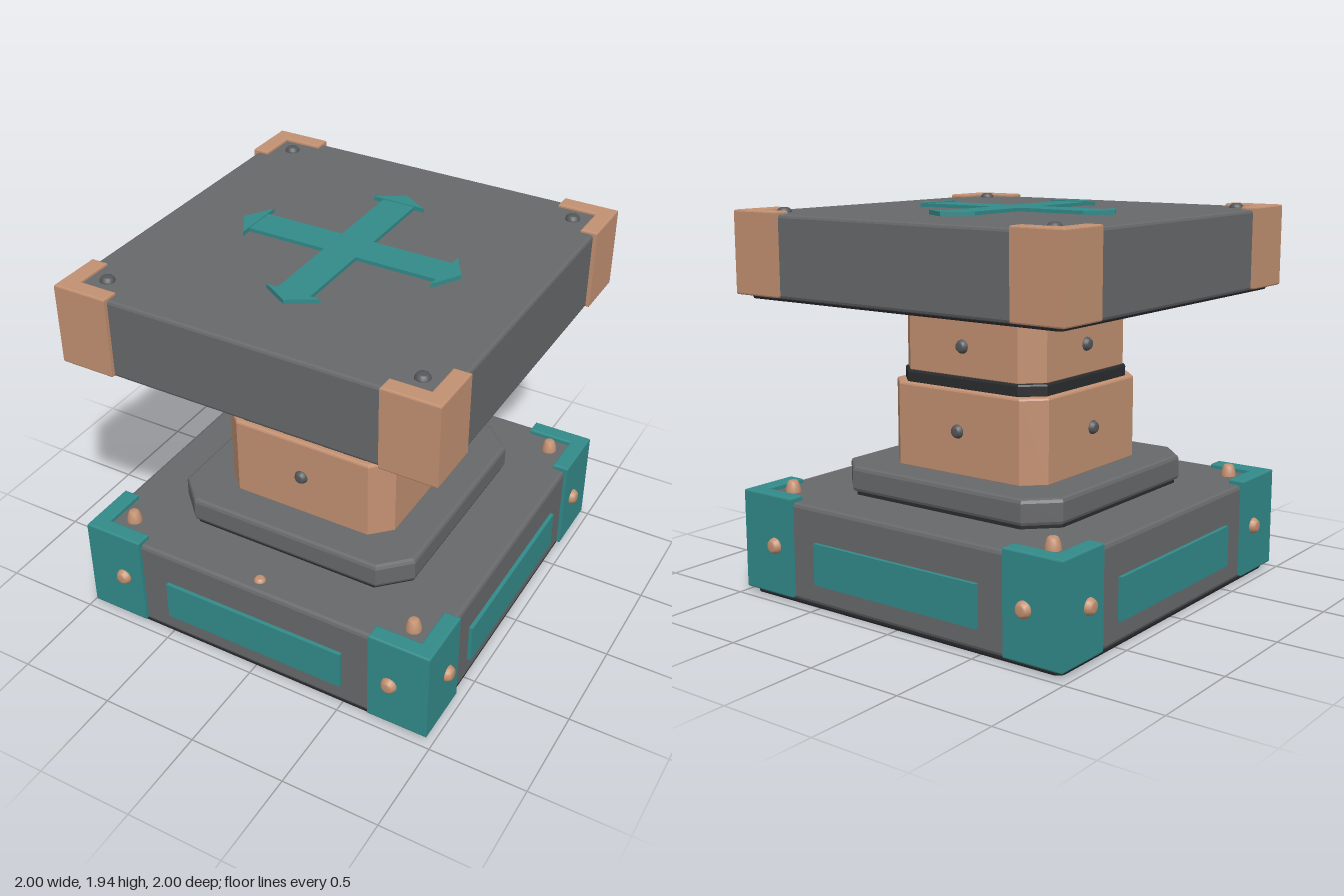
import * as THREE from 'three';

const mat = (color) => new THREE.MeshStandardMaterial({ color });
const grey = mat(0x68696b), dark = mat(0x2b2c2e), copper = mat(0xc39172);
const teal = mat(0x338b8a), steel = mat(0x55575a);

export function createModel() {
  const model = new THREE.Group();

  const add = (name, geometry, material, parent = model) => {
    const mesh = new THREE.Mesh(geometry, material);
    mesh.name = name;
    parent.add(mesh);
    return mesh;
  };

  // Upright prism from an outline in plan, with slightly bevelled rims
  const prism = (points, y0, y1, bevel) => {
    const shape = new THREE.Shape(points.map(([x, y]) => new THREE.Vector2(x, y)));
    const geometry = new THREE.ExtrudeGeometry(shape, {
      depth: y1 - y0 - 2 * bevel, bevelEnabled: bevel > 0, bevelSize: bevel,
      bevelThickness: bevel, bevelOffset: -bevel, bevelSegments: 2,
    });
    return geometry.rotateX(-Math.PI / 2).translate(0, y0 + bevel, 0);
  };

  // Square block with cut corners
  const slab = (name, half, y0, y1, cut, bevel, material) => {
    const h = half, k = half - cut;
    const outline = [[h, -k], [h, k], [k, h], [-k, h], [-h, k], [-h, -k], [-k, -h], [k, -h]];
    return add(name, prism(outline, y0, y1, bevel), material);
  };

  // Four copies of a part around the vertical axis
  const around = (name, build) => {
    for (let i = 0; i < 4; i++) {
      const side = new THREE.Group();
      side.name = name;
      side.rotation.y = i * Math.PI / 2;
      build(side);
      model.add(side);
    }
  };

  // Domed stud standing on y = 0
  const studGeometry = (r, h) => new THREE.LatheGeometry(
    [[r, -0.03], [r, 0], [r * 0.94, h * 0.35], [r * 0.72, h * 0.85], [r * 0.5, h], [0, h]]
      .map(([x, y]) => new THREE.Vector2(x, y)), 16);
  const topStud = (name, r, h, x, y, z, material, parent) =>
    add(name, studGeometry(r, h), material, parent).position.set(x, y, z);
  const frontStud = (name, r, h, x, y, z, material, parent) =>
    add(name, studGeometry(r, h).rotateX(Math.PI / 2), material, parent).position.set(x, y, z);

  // L-shaped corner guard in plan
  const guard = (inner, y0, y1) => {
    const o = 0.97, t = 0.885;
    return prism([[o, inner], [o, o], [inner, o], [inner, t], [t, t], [t, inner]], y0, y1, 0.008);
  };

  // Base
  slab('baseUnderside', 0.945, 0, 0.04, 0.03, 0.015, dark);
  slab('baseBlock', 0.95, 0.02, 0.515, 0.02, 0.02, grey);
  around('baseSide', (side) => {
    add('sidePanel', new THREE.BoxGeometry(1, 0.21, 0.04), teal, side).position.set(0, 0.235, 0.95);
    add('baseCornerGuard', guard(0.65, 0.03, 0.54), teal, side);
    for (const x of [-0.765, 0.765]) frontStud('guardRivet', 0.042, 0.03, x, 0.28, 0.97, copper, side);
    topStud('baseTopRivet', 0.04, 0.06, 0.8, 0.515, 0.8, copper, side);
  });
  topStud('frontRivet', 0.03, 0.018, 0, 0.515, 0.87, copper);

  // Plinth
  slab('plinthSkirt', 0.645, 0.5, 0.55, 0.14, 0.01, dark);
  slab('plinth', 0.66, 0.53, 0.66, 0.14, 0.02, grey);

  // Column in two stages
  slab('lowerColumn', 0.47, 0.65, 1.08, 0.1, 0.012, copper);
  slab('columnCollar', 0.44, 1.07, 1.14, 0.1, 0.012, dark);
  slab('upperColumn', 0.43, 1.13, 1.45, 0.1, 0.012, copper);
  slab('columnFlange', 0.51, 1.435, 1.52, 0.12, 0.02, grey);
  around('columnStuds', (side) => {
    frontStud('lowerColumnStud', 0.035, 0.025, 0, 0.875, 0.47, steel, side);
    frontStud('upperColumnStud', 0.035, 0.025, 0, 1.285, 0.43, steel, side);
  });

  // Platform
  slab('platformUnderside', 0.93, 1.5, 1.54, 0.03, 0.012, dark);
  slab('platform', 0.95, 1.515, 1.915, 0.02, 0.015, grey);
  around('platformCorner', (side) => {
    add('platformCornerGuard', guard(0.69, 1.52, 1.93), copper, side);
    topStud('platformStud', 0.037, 0.023, 0.8, 1.915, 0.8, steel, side);
  });

  // Four-way arrow on the platform
  const w = 0.085, e = 0.5;
  const cross = [[w, -w], [e, -w], [e, w], [w, w], [w, e], [-w, e],
    [-w, w], [-e, w], [-e, -w], [-w, -w], [-w, -e], [w, -e]];
  add('arrowCross', prism(cross, 1.905, 1.933, 0), teal);
  around('arrowTip', (side) =>
    add('arrowHead', prism([[e, -0.14], [0.585, 0], [e, 0.14]], 1.905, 1.937, 0), teal, side));

  return model;
}
